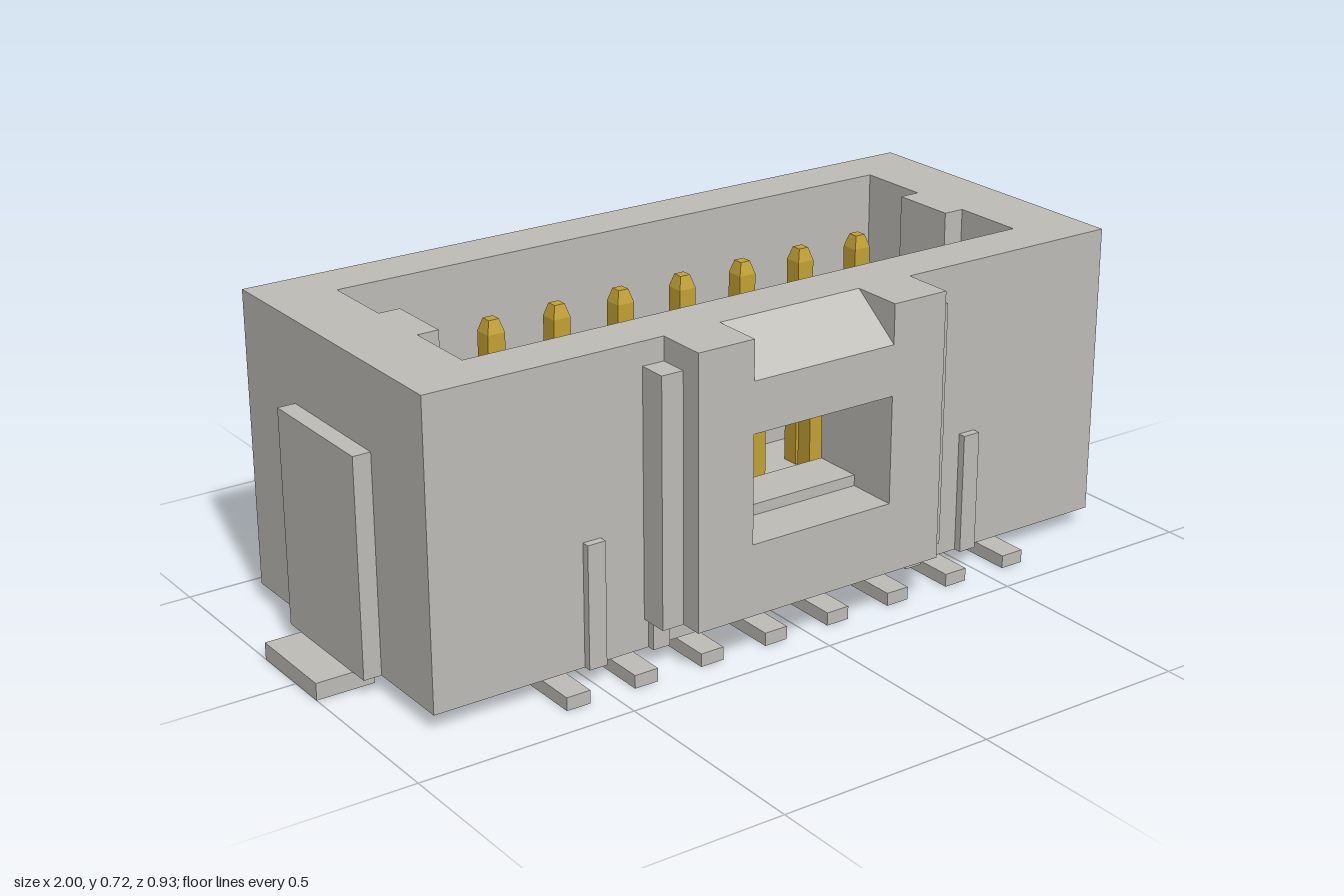
import * as THREE from 'three';

export function createModel() {
  const model = new THREE.Group();
  model.name = 'boxHeaderConnector';
  const grey = new THREE.MeshStandardMaterial({ color: 0xbfbdb8 });
  grey.name = 'housing grey';
  const gold = new THREE.MeshStandardMaterial({ color: 0xc4a235 });
  gold.name = 'contact gold';

  const add = (name, geometry, material = grey) => {
    const mesh = new THREE.Mesh(geometry, material);
    mesh.name = name;
    model.add(mesh);
    return mesh;
  };
  // Box given by its limits on each axis
  const box = (name, x0, x1, y0, y1, z0, z1, material) => {
    const g = new THREE.BoxGeometry(x1 - x0, y1 - y0, z1 - z0);
    g.translate((x0 + x1) / 2, (y0 + y1) / 2, (z0 + z1) / 2);
    return add(name, g, material);
  };
  // The same box on both sides of x = 0
  const pair = (name, x0, x1, ...rest) => {
    box(name + 'Left', x0, x1, ...rest);
    box(name + 'Right', -x1, -x0, ...rest);
  };
  const points = list => list.map(([x, y]) => new THREE.Vector2(x, y));
  // Upright plate with one opening, spanning z0 to z1
  const plate = (name, outline, hole, z0, z1) => {
    const shape = new THREE.Shape(points(outline));
    shape.holes.push(new THREE.Path(points(hole)));
    const g = new THREE.ExtrudeGeometry(shape, { depth: z1 - z0, bevelEnabled: false });
    g.translate(0, 0, z0);
    return add(name, g);
  };

  const W = 0.875, bottom = 0.04, floor = 0.1, top = 0.72;
  const back = -0.396, front = 0.348, latchFront = 0.467;
  const cavityX = 0.715, cavityBack = -0.277, cavityFront = 0.231;

  // Housing floor and walls
  box('housingFloor', -W, W, bottom, floor, back, front);
  box('backWall', -W, W, floor, top, back, cavityBack);
  pair('endWall', cavityX, W, floor, top, cavityBack, cavityFront);
  pair('keyRib', 0.665, cavityX, floor, top, -0.1, 0.057);
  plate('frontWall',
    [[-W, floor], [W, floor], [W, top], [-W, top]],
    [[-0.18, 0.295], [0.18, 0.295], [0.18, 0.515], [0.107, 0.515],
      [0.107, 0.455], [-0.107, 0.455], [-0.107, 0.515], [-0.18, 0.515]],
    cavityFront, front);

  // Latch block with its window and top notch
  plate('latchBlock',
    [[-0.318, 0.107], [0.318, 0.107], [0.318, top], [0.18, top],
      [0.18, 0.63], [-0.18, 0.63], [-0.18, top], [-0.318, top]],
    [[-0.18, 0.27], [0.18, 0.27], [0.18, 0.515], [-0.18, 0.515]],
    front, latchFront);
  const wedge = new THREE.ExtrudeGeometry(
    new THREE.Shape(points([[front, 0.63], [latchFront, 0.63], [front, top]])),
    { depth: 0.36, bevelEnabled: false });
  wedge.rotateY(-Math.PI / 2);
  wedge.translate(0.18, 0, 0);
  add('latchRamp', wedge);
  pair('latchFlange', 0.318, 0.37, 0.107, 0.667, front, 0.415);
  pair('flangeFoot', 0.318, 0.36, bottom, 0.107, front, 0.366);
  pair('frontRib', 0.475, 0.518, bottom, 0.32, front, 0.366);

  // End brackets and their solder feet
  pair('endPlate', W, 0.916, bottom, 0.533, -0.18, 0.138);
  pair('endFoot', 0.865, 1, 0, 0.039, -0.135, 0.09);

  // Contacts: two rows of eight pins, each with a stepped solder tail
  const half = 0.0215, pitch = 0.1663;
  for (let i = 0; i < 8; i++) {
    const x = (i - 3.5) * pitch;
    for (const z of [-0.157, 0.108]) {
      box('pin', x - half, x + half, floor, 0.6, z - half, z + half, gold);
      const tip = new THREE.CylinderGeometry(0.0125 * Math.SQRT2, half * Math.SQRT2, 0.03, 4).toNonIndexed();
      tip.computeVertexNormals();
      tip.rotateY(Math.PI / 4);
      tip.translate(x, 0.615, z);
      add('pinTip', tip, gold);
    }
    const x0 = x - 0.0285, x1 = x + 0.0285;
    box('frontTail', x0, x1, 0, 0.03, 0.113, 0.422);
    box('frontTailRoot', x0, x1, 0.03, bottom, 0.113, 0.31);
    box('backTail', x0, x1, 0, 0.03, -0.466, -0.157);
    box('backTailRoot', x0, x1, 0.03, bottom, -0.354, -0.157);
  }
  return model;
}
